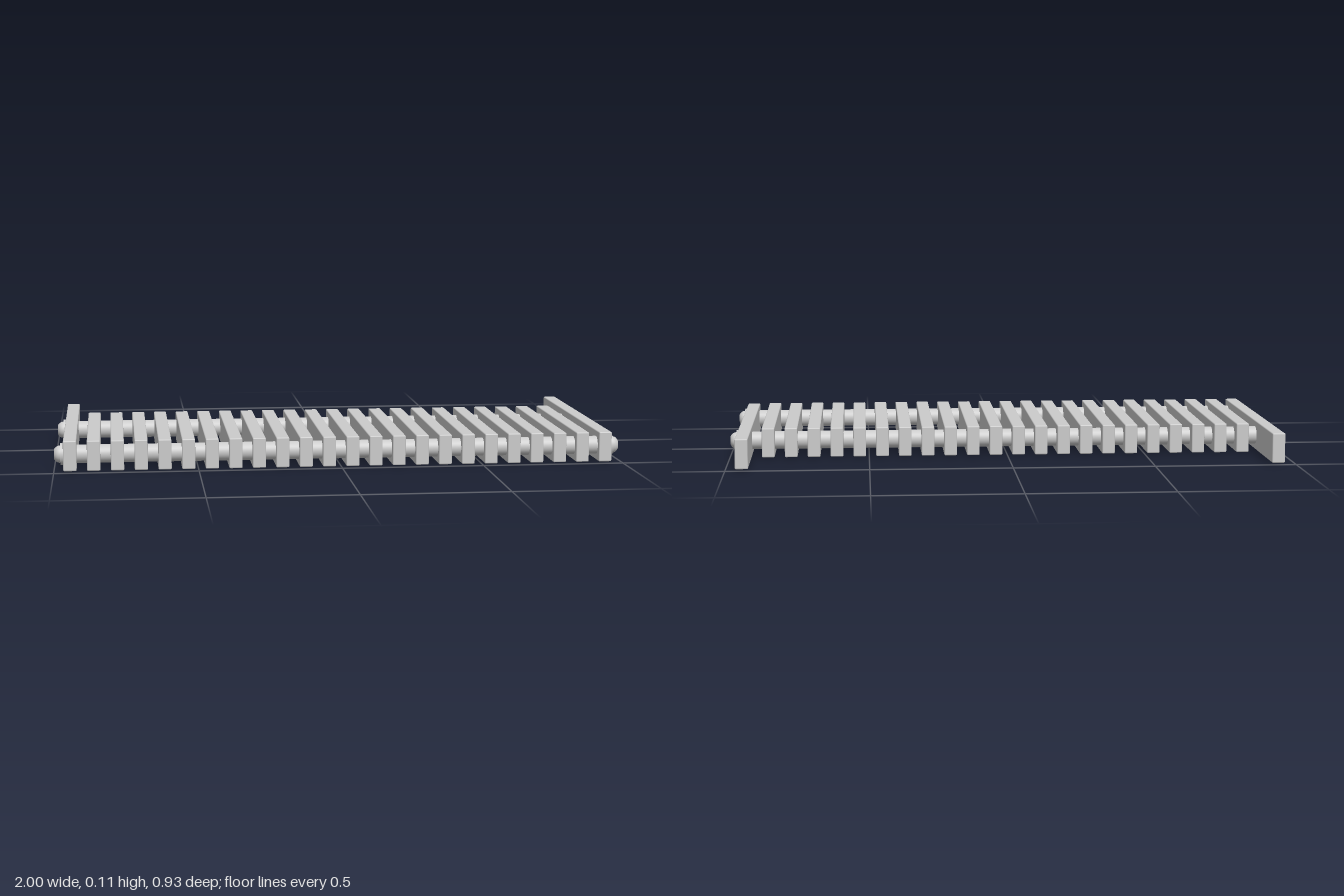
import * as THREE from 'three';
import { RoundedBoxGeometry } from 'three/addons/geometries/RoundedBoxGeometry.js';

const COUNT = 24, END_X = 0.945, PITCH = (2 * END_X) / (COUNT - 1);
const THICK = 0.046, HEIGHT = 0.106, AXIS_Y = HEIGHT / 2;
const FRONT_Z = 0.463, ROD_Z = [0.412, -0.144];

export function createModel() {
  const model = new THREE.Group();
  const material = new THREE.MeshStandardMaterial({ color: 0xcccccc });
  const add = (parent, name, geometry, x = 0, y = 0, z = 0) => {
    const mesh = new THREE.Mesh(geometry, material);
    mesh.name = name;
    mesh.position.set(x, y, z);
    parent.add(mesh);
    return mesh;
  };

  // Slats: long ones at both ends, shorter ones between, flush at the front
  const slat = (backZ) => new RoundedBoxGeometry(THICK, HEIGHT, FRONT_Z - backZ, 2, 0.004);
  const longSlat = slat(-FRONT_Z), shortSlat = slat(-0.216);
  for (let i = 0; i < COUNT; i++) {
    const isEnd = i === 0 || i === COUNT - 1;
    add(model, isEnd ? 'endSlat' : 'slat', isEnd ? longSlat : shortSlat,
      -END_X + i * PITCH, AXIS_Y, isEnd ? 0 : (FRONT_Z - 0.216) / 2);
  }

  // Round spacers in every gap, threaded on two rods
  const alongX = (r, length) => new THREE.CylinderGeometry(r, r, length, 32).rotateZ(-Math.PI / 2);
  const spacer = alongX(0.032, PITCH - THICK);
  const rod = alongX(0.012, 1.94);
  for (const z of ROD_Z) {
    add(model, 'rod', rod, 0, AXIS_Y, z);
    for (let i = 0; i < COUNT - 1; i++) {
      add(model, 'spacer', spacer, -END_X + (i + 0.5) * PITCH, AXIS_Y, z);
    }
  }

  // Bolt parts, pointing along +x from the outer face of an end slat
  const washer = alongX(0.038, 0.01);
  const dome = new THREE.LatheGeometry([
    [0.030, 0.009], [0.030, 0.014], [0.0285, 0.02], [0.025, 0.026], [0.02, 0.03], [0.017, 0.032],
  ].map(([r, h]) => new THREE.Vector2(r, h)), 32).rotateZ(-Math.PI / 2);
  const polygon = (path, r, sides) => {
    for (let i = 0; i < sides; i++) {
      const a = (i / sides) * Math.PI * 2 + Math.PI / 2;
      path[i ? 'lineTo' : 'moveTo'](r * Math.cos(a), r * Math.sin(a));
    }
    path.closePath();
    return path;
  };
  const face = polygon(new THREE.Shape(), 0.017, 32);
  face.holes.push(polygon(new THREE.Path(), 0.0145, 6));
  const socketRim = new THREE.ExtrudeGeometry(face, { depth: 0.014, bevelEnabled: false })
    .rotateY(Math.PI / 2);
  const socketFloor = alongX(0.0165, 0.002);
  const pin = alongX(0.009, 0.012);

  for (const side of [1, -1]) {
    ROD_Z.forEach((z, i) => {
      const bolt = new THREE.Group();
      bolt.name = side > 0 ? 'leftBolt' : 'rightBolt';
      bolt.position.set(side * (END_X + THICK / 2), AXIS_Y, z);
      bolt.rotation.y = side > 0 ? 0 : Math.PI;
      add(bolt, 'washer', washer, 0.005);
      add(bolt, 'boltHead', dome);
      add(bolt, 'socketRim', socketRim, 0.018);
      add(bolt, 'socketFloor', socketFloor, 0.019);
      // The front rod shows its tip inside the socket
      if (i === 0) add(bolt, 'rodTip', pin, 0.024);
      model.add(bolt);
    });
  }
  return model;
}
